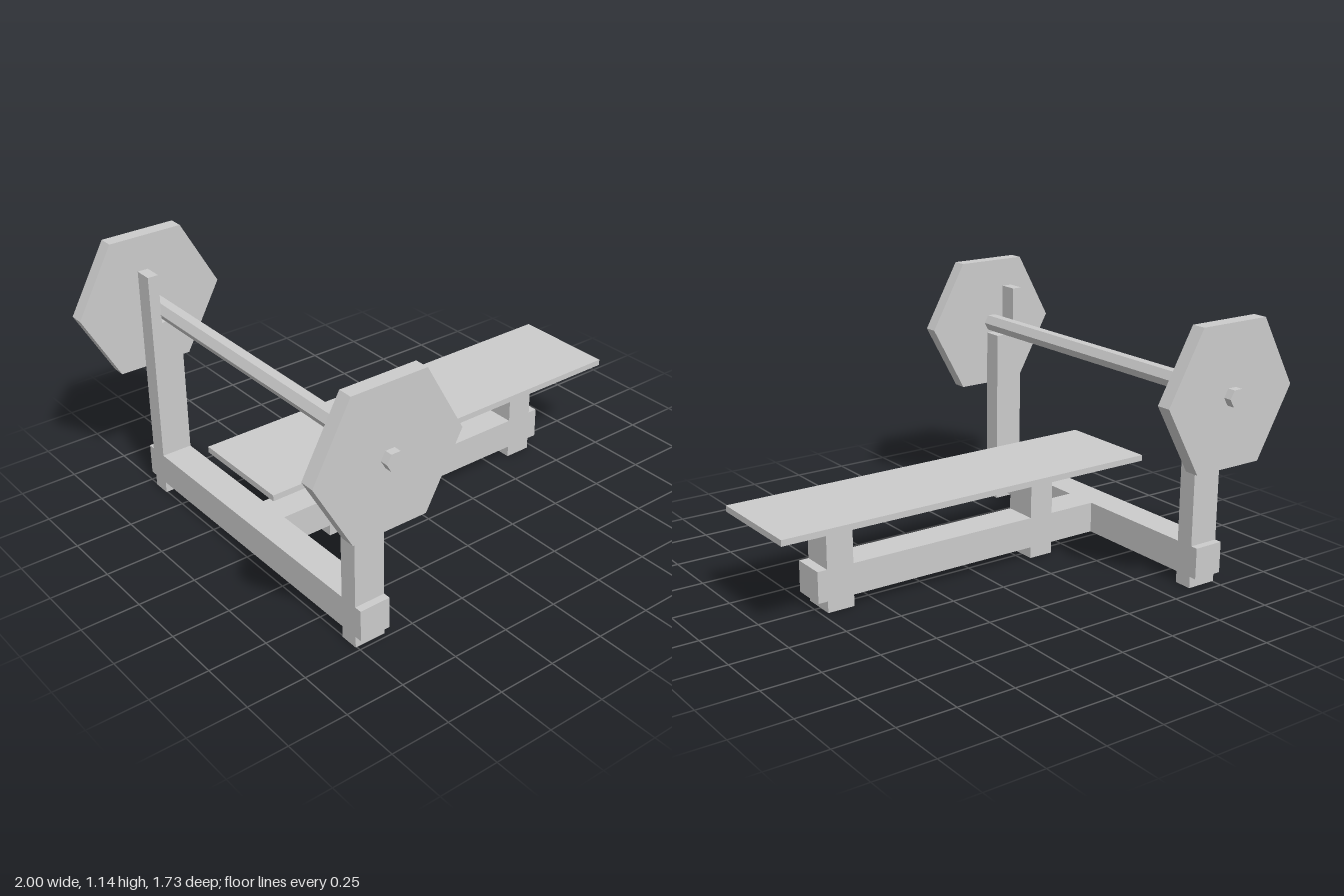
import * as THREE from 'three';

export function createModel() {
  const model = new THREE.Group();
  const material = new THREE.MeshStandardMaterial({ color: 0xcccccc, flatShading: true });

  function add(name, geometry) {
    const mesh = new THREE.Mesh(geometry, material);
    mesh.name = name;
    model.add(mesh);
    return mesh;
  }

  // Box given by its limits on each axis
  function box(name, [x0, x1], [y0, y1], [z0, z1]) {
    const mesh = add(name, new THREE.BoxGeometry(x1 - x0, y1 - y0, z1 - z0));
    mesh.position.set((x0 + x1) / 2, (y0 + y1) / 2, (z0 + z1) / 2);
  }

  // Six-sided bar along z with corners pointing to +x and -x
  function hexPrism(name, radius, [z0, z1], stretchY = 1) {
    const geometry = new THREE.CylinderGeometry(radius, radius, z1 - z0, 6);
    geometry.rotateY(Math.PI / 6).rotateX(Math.PI / 2).scale(1, stretchY, 1);
    add(name, geometry).position.set(-0.672, 0.843, (z0 + z1) / 2);
  }

  const beamY = [0.05, 0.185];
  const rackX = [-0.755, -0.62];
  const spineZ = [-0.062, 0.088];

  // T-shaped base frame
  box('crossBeam', rackX, beamY, [-0.732, 0.762]);
  box('spineBeam', [-0.62, 0.765], beamY, spineZ);

  // Bench legs, each with a post above the beam and a foot below
  for (const legX of [[-0.397, -0.284], [0.602, 0.722]]) {
    box('benchPost', legX, [0.185, 0.397], spineZ);
    box('benchFoot', legX, [0, 0.05], spineZ);
  }
  box('benchPad', [-0.765, 1], [0.397, 0.423], [-0.222, 0.236]);

  // Rack uprights with a narrow prong behind the bar rest
  for (const z of [[-0.7, -0.62], [0.648, 0.73]]) {
    box('rackFoot', rackX, [0, 0.05], z);
    const shape = new THREE.Shape([
      [-0.755, 0.185], [-0.62, 0.185], [-0.62, 0.805],
      [-0.708, 0.805], [-0.708, 1.02], [-0.755, 1.02],
    ].map(([x, y]) => new THREE.Vector2(x, y)));
    const geometry = new THREE.ExtrudeGeometry(shape, { depth: z[1] - z[0], bevelEnabled: false });
    add('rackUpright', geometry).position.z = z[0];
  }

  // Barbell
  hexPrism('bar', 0.04, [-0.863, 0.863]);
  hexPrism('weightPlate', 0.328, [-0.828, -0.765], 1.04);
  hexPrism('weightPlate', 0.328, [0.768, 0.83], 1.04);

  return model;
}
